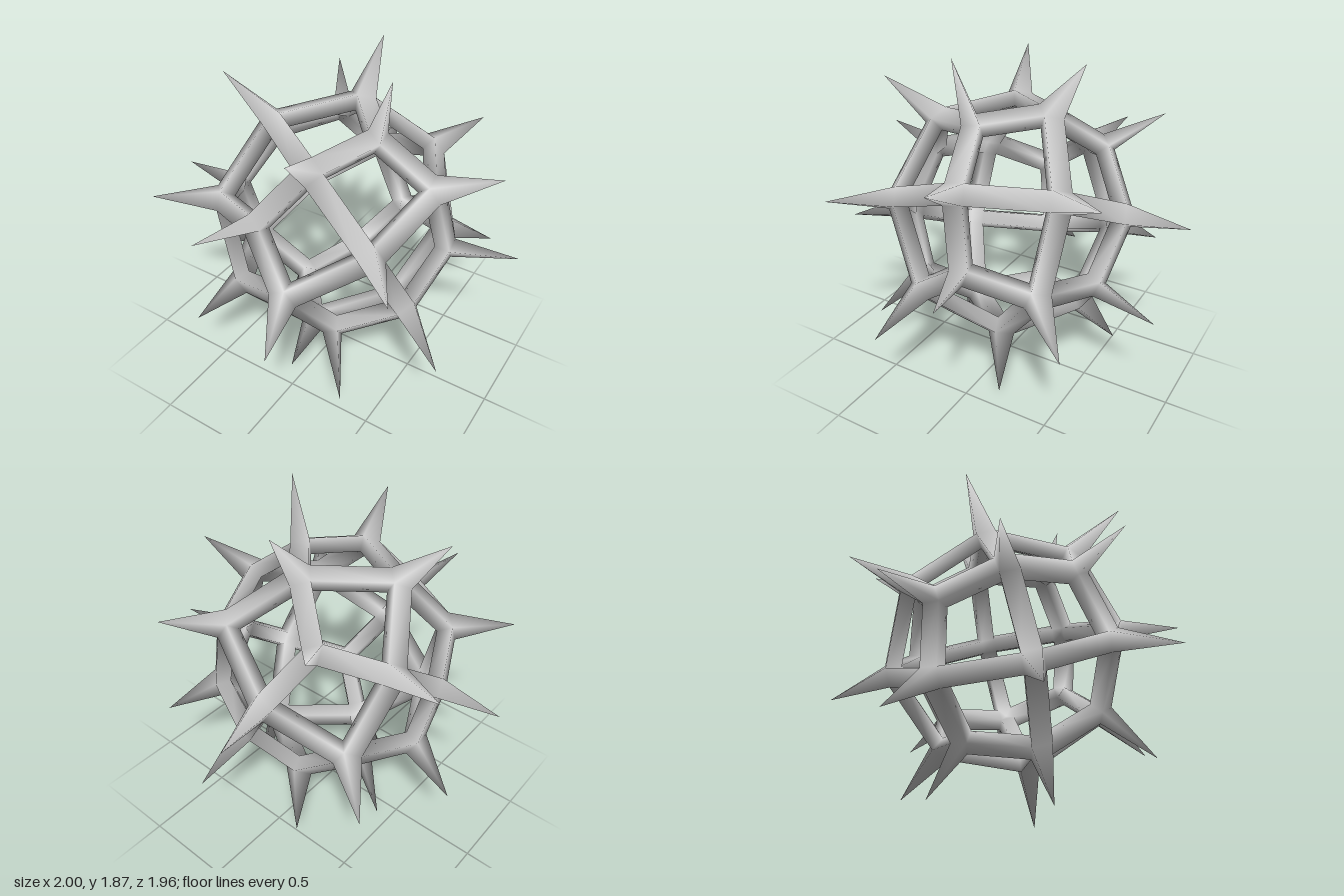
import * as THREE from 'three';

const CENTER_Y = 0.94, NODE_R = 0.718, CORNER_R = 0.70, HALF_BAR = 0.058;
const INNER = 0.865, INNER_HALF_BAR = 0.042;

// Cage axes: tilted orthonormal frame
const A = new THREE.Vector3(0.70, 0.252, 0.668).normalize();
const C = new THREE.Vector3(0.50, -0.845, -0.20);
C.addScaledVector(A, -C.dot(A)).normalize();
const B = new THREE.Vector3().crossVectors(C, A);

// Spike tips, relative to the cage centre
const TIPS = [
  [0.015, 0.90, -0.43], [0.365, 0.935, 0.11], [-0.56, 0.80, 0.21], [0.17, 0.72, 0.695],
  [0.89, 0.475, -0.09], [-0.885, 0.347, -0.316], [-0.755, 0.203, 0.64], [0.705, 0.18, 0.705],
  [-1.0, 0.053, 0.09], [1.0, -0.027, -0.187], [0.822, -0.49, 0.346], [-0.835, -0.555, -0.02],
  [-0.695, -0.325, -0.63], [-0.515, -0.528, 0.677], [0.425, -0.65, 0.65], [0.435, -0.89, -0.18],
  [-0.09, -0.938, 0.38], [-0.445, -0.895, -0.12], [-0.22, -0.785, -0.58], [-0.195, 0.31, 0.945],
  [0.215, -0.18, 0.98], [-0.147, 0.08, -0.982], [0.12, -0.365, -0.925], [0.505, 0.405, -0.758],
  [0.682, -0.335, -0.665], [-0.43, 0.57, -0.698],
].map((t) => new THREE.Vector3(...t));

// 26 nodes: axis ends, edge middles and corners of a cube
function makeNodes() {
  const nodes = [], ids = {};
  for (let i = -1; i <= 1; i++) for (let j = -1; j <= 1; j++) for (let k = -1; k <= 1; k++) {
    const n = Math.abs(i) + Math.abs(j) + Math.abs(k);
    if (!n) continue;
    ids[[i, j, k]] = nodes.length;
    nodes.push(new THREE.Vector3().addScaledVector(A, i).addScaledVector(B, j).addScaledVector(C, k)
      .setLength(n === 3 ? CORNER_R : NODE_R));
  }
  return { nodes, ids };
}

// 24 kite faces, three round every corner, wound counter-clockwise from outside
function makeFaces(nodes, ids) {
  const faces = [];
  for (const i of [-1, 1]) for (const j of [-1, 1]) for (const k of [-1, 1]) {
    const s = [i, j, k];
    for (let a = 0; a < 3; a++) {
      const b = (a + 1) % 3, c = (a + 2) % 3;
      const pick = (...axes) => ids[s.map((v, n) => (axes.includes(n) ? v : 0))];
      const f = [pick(a), pick(a, b), pick(a, b, c), pick(a, c)];
      const [p, q, r] = f.map((v) => nodes[v]);
      const normal = q.clone().sub(p).cross(r.clone().sub(p));
      if (normal.dot(p) < 0) f.reverse();
      faces.push(f);
    }
  }
  return faces;
}

function makeCageGeometry() {
  const { nodes, ids } = makeNodes();
  const faces = makeFaces(nodes, ids);
  const outerPts = [], innerPts = [], index = [], edgeOwner = {};
  const quad = (a, b, c, d) => index.push(a, b, c, a, c, d);

  // Inset hole corners on the outer and inner side of the bars
  faces.forEach((f, fi) => f.forEach((v, k) => {
    const to = nodes[f[(k + 1) % 4]].clone().sub(nodes[v]).normalize();
    const from = nodes[f[(k + 3) % 4]].clone().sub(nodes[v]).normalize();
    const sin = Math.sin(to.angleTo(from)), inward = to.add(from);
    outerPts.push(nodes[v].clone().addScaledVector(inward, HALF_BAR / sin));
    innerPts.push(nodes[v].clone().multiplyScalar(INNER).addScaledVector(inward, INNER_HALF_BAR / sin));
    edgeOwner[[v, f[(k + 1) % 4]]] = [fi, k];
  }));

  // Spike tip and inner cap centre of each node
  const tips = nodes.map((n) => TIPS.reduce((m, t) => (t.angleTo(n) < m.angleTo(n) ? t : m)));
  const caps = nodes.map((n) => n.clone().multiplyScalar(INNER));
  const inner = outerPts.length, tip = inner * 2, cap = tip + nodes.length;

  faces.forEach((f, fi) => f.forEach((a, k) => {
    const b = f[(k + 1) % 4], [g, m] = edgeOwner[[b, a]];
    const fa = fi * 4 + k, fb = fi * 4 + (k + 1) % 4;
    const gb = g * 4 + m, ga = g * 4 + (m + 1) % 4;
    // Hole wall
    quad(inner + fa, fa, fb, inner + fb);
    // Outer and inner side of the bar, once per edge
    if (a < b) {
      quad(fa, ga, gb, fb);
      quad(inner + fb, inner + gb, inner + ga, inner + fa);
    }
    // Spike side and inner cap
    index.push(ga, fa, tip + a, inner + fa, inner + ga, cap + a);
  }));

  const geometry = new THREE.BufferGeometry().setFromPoints([...outerPts, ...innerPts, ...tips, ...caps]);
  geometry.setIndex(index);
  geometry.computeVertexNormals();
  return geometry;
}

export function createModel() {
  const group = new THREE.Group();
  group.name = 'spikedBall';
  const cage = new THREE.Mesh(makeCageGeometry(), new THREE.MeshStandardMaterial({ color: 0xcccccc }));
  cage.name = 'spikedCage';
  cage.position.y = CENTER_Y;
  group.add(cage);
  return group;
}
